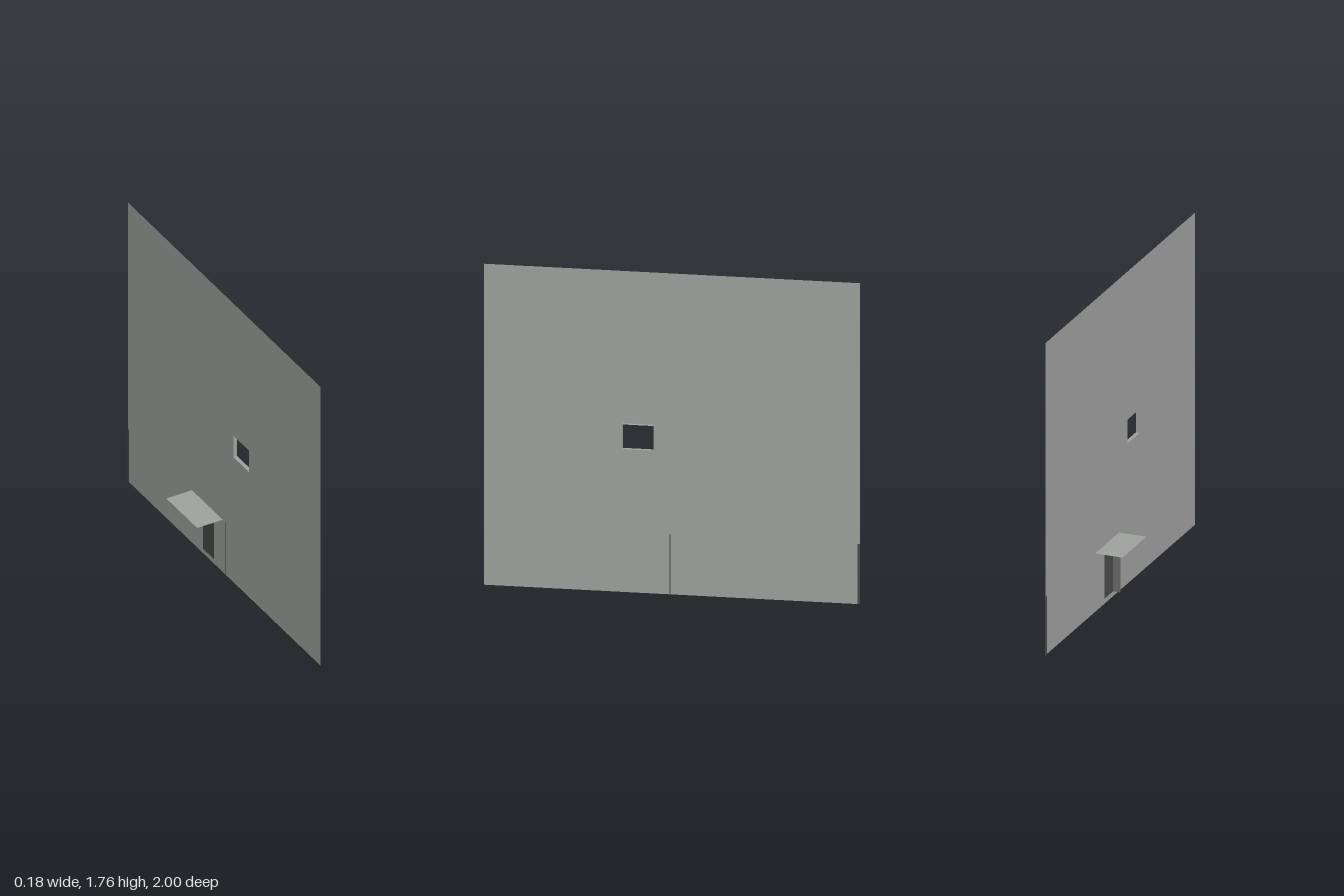
import * as THREE from 'three';

const WALL_X = 0.065, HEIGHT = 1.76;
const WIN = { z0: 0.095, z1: 0.26, y0: 0.79, y1: 0.925, depth: 0.022 };

export function createModel() {
  const model = new THREE.Group();
  const plaster = new THREE.MeshStandardMaterial({ color: 0xa0a2a0, side: THREE.DoubleSide });
  plaster.name = 'grey plaster';
  const dark = new THREE.MeshStandardMaterial({ color: 0x4a4a4a });
  dark.name = 'dark grey';

  const add = (name, geometry, material, x, y, z, parent = model) => {
    const mesh = new THREE.Mesh(geometry, material);
    mesh.name = name;
    mesh.position.set(x, y, z);
    parent.add(mesh);
    return mesh;
  };

  // Large flat wall with a window opening, drawn as (z, y)
  const outline = new THREE.Shape([
    new THREE.Vector2(-1, 0), new THREE.Vector2(1, 0),
    new THREE.Vector2(1, HEIGHT), new THREE.Vector2(-1, HEIGHT),
  ]);
  outline.holes.push(new THREE.Path([
    new THREE.Vector2(WIN.z0, WIN.y0), new THREE.Vector2(WIN.z0, WIN.y1),
    new THREE.Vector2(WIN.z1, WIN.y1), new THREE.Vector2(WIN.z1, WIN.y0),
  ]));
  add('wall', new THREE.ShapeGeometry(outline).rotateY(-Math.PI / 2), plaster, WALL_X, 0, 0);

  // Open window surround standing out from the wall
  const surround = new THREE.Group();
  surround.name = 'windowSurround';
  model.add(surround);
  const x = WALL_X + WIN.depth / 2;
  const midY = (WIN.y0 + WIN.y1) / 2, midZ = (WIN.z0 + WIN.z1) / 2;
  for (const [z, sign] of [[WIN.z0, -1], [WIN.z1, 1]]) {
    const side = new THREE.PlaneGeometry(WIN.depth, WIN.y1 - WIN.y0);
    if (sign < 0) side.rotateY(Math.PI);
    add('windowJamb', side, plaster, x, midY, z, surround);
  }
  for (const [y, sign] of [[WIN.y0, 1], [WIN.y1, -1]]) {
    const ledge = new THREE.PlaneGeometry(WIN.depth, WIN.z1 - WIN.z0).rotateX(sign * Math.PI / 2);
    add('windowLedge', ledge, plaster, x, y, midZ, surround);
  }

  // Flat canopy over the door
  add('canopy', new THREE.PlaneGeometry(0.155, 0.32).rotateX(-Math.PI / 2), plaster,
    WALL_X - 0.0775, 0.33, -0.175);

  // Dark doorway with a narrow return beside it
  add('door', new THREE.PlaneGeometry(0.115, 0.27).rotateY(-Math.PI / 2), dark,
    WALL_X - 0.002, 0.165, -0.1575);
  const leafMaterial = new THREE.MeshStandardMaterial({ color: 0x6a6a6a });
  leafMaterial.name = 'mid grey';
  add('doorReturn', new THREE.PlaneGeometry(0.045, 0.27).rotateY(Math.PI), leafMaterial,
    WALL_X - 0.0225, 0.165, -0.1);

  // Thin dark joints at the foot of the wall
  add('edgeJoint', new THREE.BoxGeometry(0.004, 0.33, 0.014), dark, WALL_X, 0.165, -0.993);
  add('middleJoint', new THREE.BoxGeometry(0.002, 0.33, 0.006), dark, WALL_X + 0.001, 0.165, 0.01);

  return model;
}
